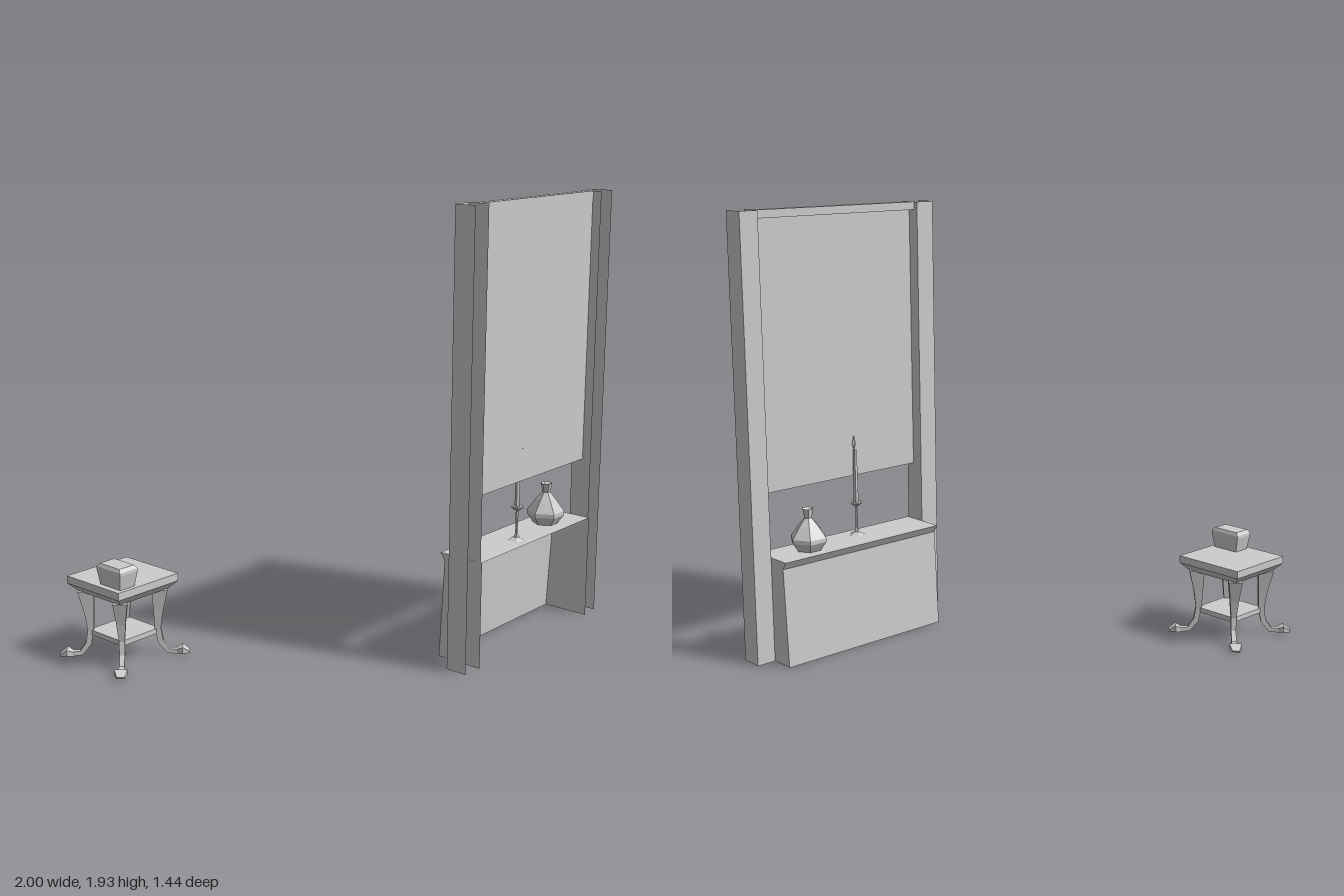
import * as THREE from 'three';

const grey = new THREE.MeshStandardMaterial({ color: 0xcccccc, flatShading: true, side: THREE.DoubleSide });
grey.name = 'plain grey';

function add(parent, name, geometry, x = 0, y = 0, z = 0) {
  const mesh = new THREE.Mesh(geometry, grey);
  mesh.name = name;
  mesh.position.set(x, y, z);
  parent.add(mesh);
  return mesh;
}

// Skin four-cornered cross-sections, optionally closing both ends
function loft(rings, capped = true) {
  const pos = [], quad = (a, b, c, d) => pos.push(...a, ...b, ...c, ...a, ...c, ...d);
  for (let i = 0; i < rings.length - 1; i++) {
    const lo = rings[i], hi = rings[i + 1];
    for (let j = 0; j < 4; j++) quad(lo[j], lo[(j + 1) % 4], hi[(j + 1) % 4], hi[j]);
  }
  if (capped) {
    quad(...[...rings[0]].reverse());
    quad(...rings[rings.length - 1]);
  }
  return fromPositions(pos);
}

function fromPositions(pos) {
  const g = new THREE.BufferGeometry();
  g.setAttribute('position', new THREE.Float32BufferAttribute(pos, 3));
  g.computeVertexNormals();
  return g;
}

// Level rectangle with half sizes w, d at height y
const rect = (y, w, d) => [[w, y, d], [w, y, -d], [-w, y, -d], [-w, y, d]];

// Sheet swept along x: profile of [z, y] points
function strip(profile, x0, x1) {
  const pos = [];
  for (let i = 0; i < profile.length - 1; i++) {
    const [z0, y0] = profile[i], [z1, y1] = profile[i + 1];
    pos.push(x0, y0, z0, x1, y0, z0, x1, y1, z1, x0, y0, z0, x1, y1, z1, x0, y1, z1);
  }
  return fromPositions(pos);
}

function lathe(points, sides) {
  return new THREE.LatheGeometry(points.map(p => new THREE.Vector2(...p)), sides, Math.PI / 2);
}

function buildWindow() {
  const g = new THREE.Group();
  g.name = 'window';
  // Posts: channels open at the front, top and bottom
  const H = 1.935, zBack = 0.615, zFront = 0.712, depth = zFront - zBack;
  for (const [name, x0, x1] of [['rightPost', -0.015, 0.075], ['leftPost', 0.91, 0.997]]) {
    const post = new THREE.Group();
    post.name = name;
    g.add(post);
    add(post, name + 'Back', new THREE.PlaneGeometry(x1 - x0, H), (x0 + x1) / 2, H / 2, zBack).rotation.y = Math.PI;
    for (const [x, dir] of [[x0, -1], [x1, 1]]) {
      add(post, name + 'Side', new THREE.PlaneGeometry(depth, H), x, H / 2, (zBack + zFront) / 2).rotation.y = dir * Math.PI / 2;
    }
  }
  // Blind and the header bar along its top edge
  add(g, 'blind', new THREE.PlaneGeometry(0.835, 1.165), 0.4925, 1.3175, 0.67);
  add(g, 'header', new THREE.BoxGeometry(0.835, 0.035, 0.035), 0.4925, 1.9175, 0.654);

  // Counter: hollow, with a bevelled lip, open to the front and below
  const profile = [[0.718, 0.467], [0.506, 0.467], [0.528, 0.433], [0.505, 0]];
  add(g, 'counterShell', strip(profile, 0.074, 0.91));
  const side = new THREE.Shape([...profile, [0.718, 0]].map(([z, y]) => new THREE.Vector2(-z, y)));
  for (const x of [0.076, 0.908]) add(g, 'counterSide', new THREE.ShapeGeometry(side), x).rotation.y = Math.PI / 2;
  return g;
}

function buildCandle() {
  const g = new THREE.Group();
  g.name = 'candle';
  g.position.set(0.428, 0.467, 0.648);
  add(g, 'candlestick', lathe([[0.038, 0], [0.012, 0.012], [0.006, 0.03], [0.006, 0.13], [0.027, 0.145], [0.027, 0.152], [0.01, 0.152]], 5));
  add(g, 'waxStick', new THREE.CylinderGeometry(0.009, 0.012, 0.25, 5), 0, 0.265, 0);
  add(g, 'flame', lathe([[0, 0.39], [0.01, 0.41], [0, 0.455]], 4), -0.006, 0, 0.014);
  return g;
}

// Leg running out along +x: [distance, height, half thickness, half width]
function legGeometry() {
  const path = [
    [0.155, 0.3, 0.034, 0.03], [0.146, 0.2, 0.02, 0.019], [0.142, 0.12, 0.013, 0.012],
    [0.153, 0.06, 0.012, 0.011], [0.185, 0.017, 0.01, 0.011], [0.222, 0.014, 0.01, 0.014],
    [0.245, 0.022, 0.014, 0.027], [0.275, 0.01, 0.004, 0.016],
  ];
  return loft(path.map(([s, y, t, w], i) => {
    const a = path[Math.max(i - 1, 0)], b = path[Math.min(i + 1, path.length - 1)];
    const ds = b[0] - a[0], dy = b[1] - a[1], len = Math.hypot(ds, dy);
    const ns = -dy / len * t, ny = ds / len * t;
    const px = [s + ns, Math.max(y + ny, 0)], mx = [s - ns, Math.max(y - ny, 0)];
    return [[...px, -w], [...px, w], [...mx, w], [...mx, -w]];
  }));
}

function buildTable() {
  const g = new THREE.Group();
  g.name = 'sideTable';
  g.position.set(-0.797, 0, -0.518);
  // Top with its edge bevelled inward underneath
  add(g, 'tableTop', loft([rect(0.295, 0.133, 0.133), rect(0.33, 0.165, 0.165), rect(0.363, 0.165, 0.165)]));
  add(g, 'lowerShelf', new THREE.BoxGeometry(0.21, 0.022, 0.21), 0, 0.109, 0);
  const leg = legGeometry();
  for (let i = 0; i < 4; i++) add(g, 'leg', leg).rotation.y = Math.PI / 4 + i * Math.PI / 2;
  // Small lidded box
  add(g, 'smallBox', loft([rect(0, 0.039, 0.062), rect(0.066, 0.047, 0.074)]), -0.1, 0.363, 0.084);
  add(g, 'boxLid', loft([rect(0.066, 0.047, 0.074), rect(0.078, 0.047, 0.073), rect(0.092, 0.039, 0.062)]), -0.1, 0.363, 0.084);
  return g;
}

export function createModel() {
  const model = new THREE.Group();
  model.name = 'windowAndTable';
  model.add(buildWindow(), buildCandle(), buildTable());
  // Six-sided vase standing on the counter
  add(model, 'vase', lathe([[0, 0], [0.055, 0], [0.083, 0.04], [0.083, 0.058], [0.045, 0.11], [0.017, 0.143], [0.026, 0.185], [0.012, 0.175]], 6), 0.72, 0.467, 0.605);
  return model;
}
